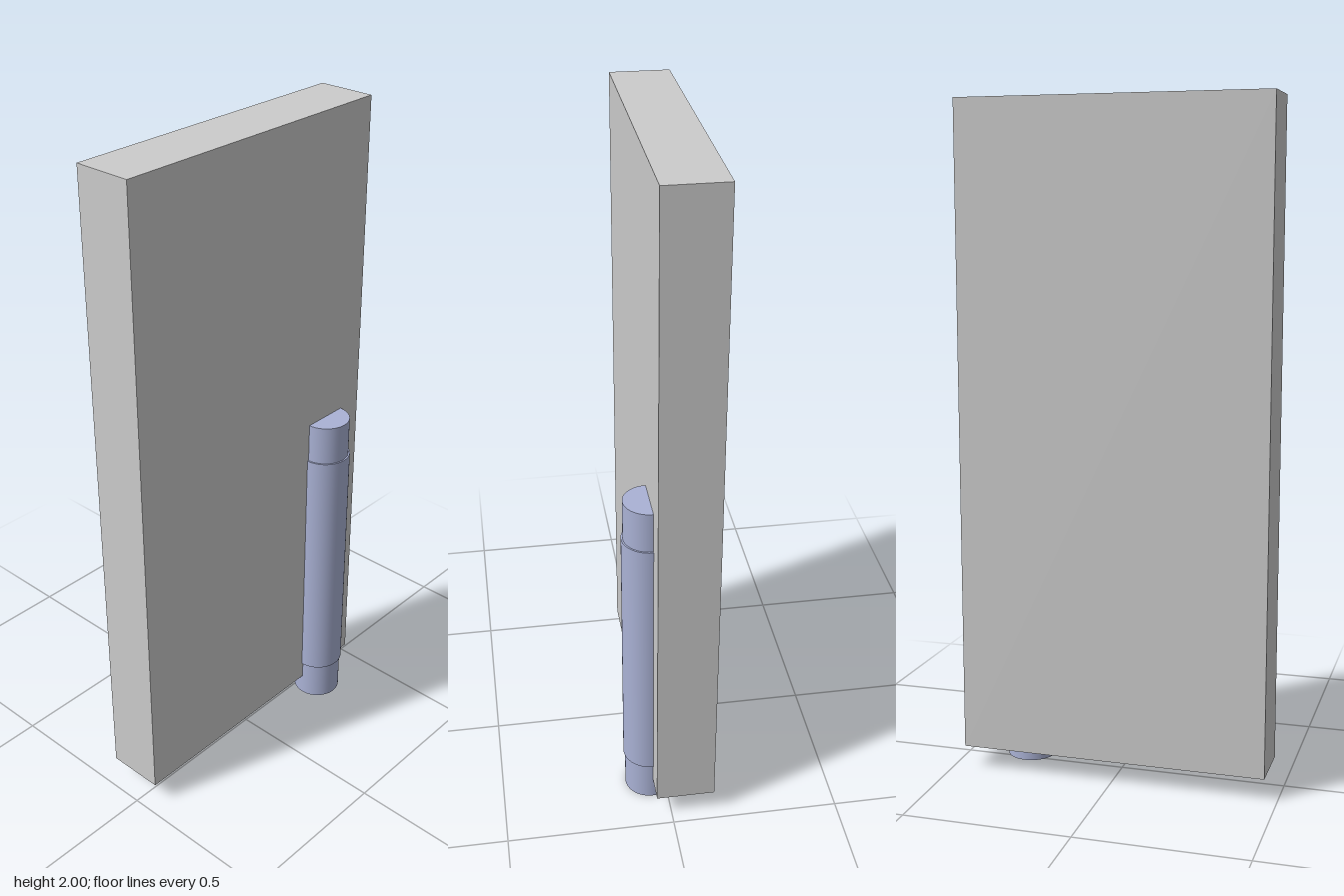
import * as THREE from 'three';

export function createModel() {
  const model = new THREE.Group();
  const grey = new THREE.MeshStandardMaterial({ color: 0xcccccc });
  const blue = new THREE.MeshStandardMaterial({ color: 0xaab2d5 });

  // Upright slab, raised slightly off the ground
  const panel = new THREE.Mesh(new THREE.BoxGeometry(0.175, 1.932, 0.926), grey);
  panel.name = 'panel';
  panel.position.set(-0.042, 1.034, 0);
  model.add(panel);

  // Stepped hinge barrel, half sunk into the panel face
  const hinge = new THREE.Group();
  hinge.name = 'hinge';
  hinge.position.set(0.047, 0, -0.308);
  const addBarrel = (name, radius, bottom, top) => {
    const mesh = new THREE.Mesh(new THREE.CylinderGeometry(radius, radius, top - bottom, 48), blue);
    mesh.name = name;
    mesh.position.y = (bottom + top) / 2;
    hinge.add(mesh);
  };
  addBarrel('hingePin', 0.074, 0, 1.045);
  addBarrel('hingeSleeve', 0.079, 0.125, 0.922);
  model.add(hinge);

  return model;
}
